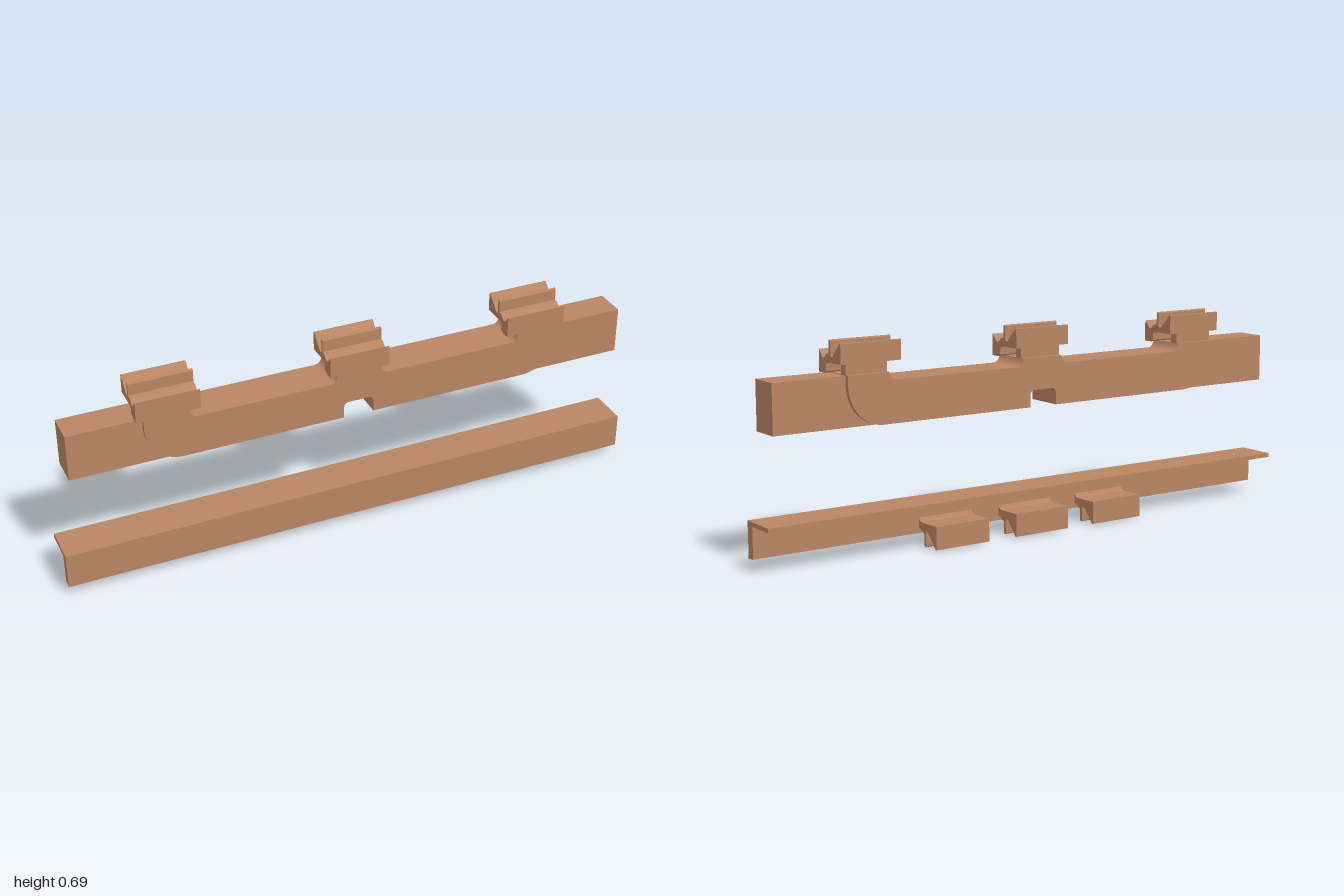
import * as THREE from 'three';

// Cross-section given as [z, y] points, swept along x from x0 to x1
function sweepX(points, x0, x1) {
  const shape = new THREE.Shape(points.map(([z, y]) => new THREE.Vector2(z, y)));
  const g = new THREE.ExtrudeGeometry(shape, { depth: x1 - x0, bevelEnabled: false });
  g.rotateY(-Math.PI / 2);
  g.translate(x1, 0, 0);
  return g;
}

export function createModel() {
  const model = new THREE.Group();
  const clay = new THREE.MeshStandardMaterial({ color: 0xb98563 });
  clay.name = 'terracotta';

  const add = (name, geometry) => {
    const mesh = new THREE.Mesh(geometry, clay);
    mesh.name = name;
    model.add(mesh);
  };
  const addBox = (name, x0, x1, y0, y1, z0, z1) => {
    const g = new THREE.BoxGeometry(x1 - x0, y1 - y0, z1 - z0);
    g.translate((x0 + x1) / 2, (y0 + y1) / 2, (z0 + z1) / 2);
    add(name, g);
  };

  // Lower rail: L-shaped section
  add('lowerRail', sweepX([
    [0.067, 0.036], [0.067, 0.155], [-0.067, 0.155], [-0.067, 0.141],
    [0.037, 0.141], [0.037, 0.039],
  ], -1, 1));

  // Clips hanging behind the lower rail
  const lowerClip = [
    [0.039, 0.092], [0.036, 0.088], [0.032, 0.081], [0.024, 0.077], [-0.02, 0.077], [-0.067, 0.079],
    [-0.067, 0.003], [-0.062, 0.002], [-0.018, 0.05], [-0.012, 0.054], [-0.007, 0.052],
    [-0.005, 0.046], [-0.005, 0.003], [-0.002, 0], [0.002, 0], [0.005, 0.003],
    [0.005, 0.042], [0.018, 0.045], [0.028, 0.055], [0.034, 0.056], [0.039, 0.052],
  ];
  for (const [x0, x1] of [[-0.405, -0.205], [-0.1, 0.108], [0.215, 0.415]])
    add('lowerClip', sweepX(lowerClip, x0, x1));

  // Upper beam: rounded ends, necks under the clips and a notch below
  const beam = new THREE.Shape();
  beam.moveTo(-0.05, 0.425);
  beam.lineTo(-0.6, 0.425);
  beam.bezierCurveTo(-0.665, 0.43, -0.712, 0.48, -0.716, 0.55);
  beam.lineTo(-0.716, 0.586);
  beam.lineTo(-0.57, 0.586);
  beam.quadraticCurveTo(-0.563, 0.561, -0.545, 0.56);
  beam.lineTo(-0.095, 0.56);
  beam.quadraticCurveTo(-0.075, 0.561, -0.07, 0.586);
  beam.lineTo(0.08, 0.586);
  beam.quadraticCurveTo(0.085, 0.561, 0.105, 0.56);
  beam.lineTo(0.555, 0.56);
  beam.quadraticCurveTo(0.572, 0.561, 0.578, 0.586);
  beam.lineTo(0.722, 0.586);
  beam.lineTo(0.722, 0.55);
  beam.bezierCurveTo(0.718, 0.48, 0.67, 0.43, 0.606, 0.425);
  beam.lineTo(0.053, 0.425);
  beam.lineTo(0.053, 0.462);
  beam.quadraticCurveTo(0.052, 0.48, 0.034, 0.48);
  beam.lineTo(-0.031, 0.48);
  beam.quadraticCurveTo(-0.049, 0.48, -0.05, 0.462);
  beam.closePath();
  const beamGeometry = new THREE.ExtrudeGeometry(beam, { depth: 0.134, bevelEnabled: false, curveSegments: 14 });
  beamGeometry.translate(0, 0, -0.067);
  add('upperBeam', beamGeometry);

  // Narrower end blocks
  addBox('endBlock', -0.96, -0.6, 0.4255, 0.584, -0.052, 0.053);
  addBox('endBlock', 0.606, 0.968, 0.4255, 0.584, -0.052, 0.053);

  // Clips and their rear posts on top of the beam
  const upperClip = [
    [0.067, 0.585], [0.067, 0.655], [0.045, 0.633], [0.039, 0.631], [0.033, 0.633],
    [0.02, 0.645], [0.005, 0.648], [0.005, 0.686], [0.002, 0.69], [-0.002, 0.69],
    [-0.005, 0.686], [-0.005, 0.645], [-0.009, 0.638], [-0.016, 0.639], [-0.062, 0.684],
    [-0.067, 0.683], [-0.067, 0.62], [0.018, 0.62], [0.023, 0.616], [0.024, 0.591],
    [0.032, 0.59], [0.036, 0.585],
  ];
  for (const [x0, x1, p0, p1] of [
    [-0.74, -0.53, -0.716, -0.57], [-0.097, 0.108, -0.07, 0.08], [0.536, 0.746, 0.578, 0.722],
  ]) {
    add('upperClip', sweepX(upperClip, x0, x1));
    addBox('clipPost', p0, p1, 0.58, 0.625, -0.054, -0.025);
  }
  return model;
}
